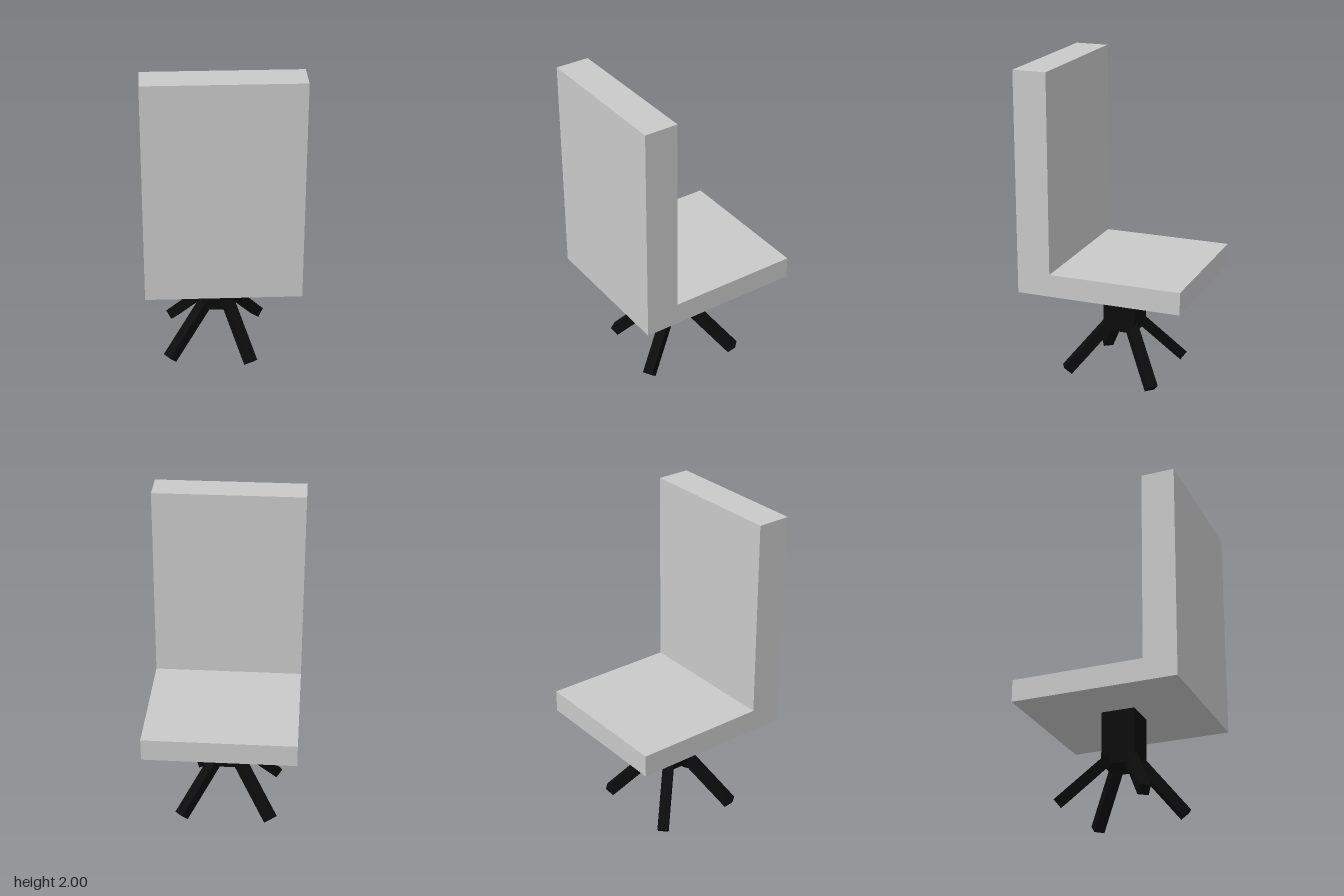
import * as THREE from 'three';

export function createModel() {
  const group = new THREE.Group();
  const grey = new THREE.MeshStandardMaterial({ color: 0xc9c9c9, name: 'light grey' });
  const black = new THREE.MeshStandardMaterial({ color: 0x0c0c0c, name: 'black' });

  const add = (name, geometry, material) => {
    const mesh = new THREE.Mesh(geometry, material);
    mesh.name = name;
    group.add(mesh);
    return mesh;
  };

  // Seat and backrest: one L-shaped profile (drawn as -z, y) extruded across x
  const profile = new THREE.Shape([
    [-0.52, 0.625], [0.52, 0.625], [0.52, 0.765], [-0.31, 0.765], [-0.31, 2], [-0.52, 2],
  ].map(([x, y]) => new THREE.Vector2(x, y)));
  const shell = new THREE.ExtrudeGeometry(profile, { depth: 0.94, bevelEnabled: false });
  shell.translate(0, 0, -0.47).rotateY(Math.PI / 2);
  add('seatAndBackrest', shell, grey);

  // Square central column, slightly off centre
  const cx = -0.02, cz = 0.015;
  add('column', new THREE.BoxGeometry(0.205, 0.335, 0.21), black).position.set(cx, 0.4575, cz);

  // Four splayed square legs running from inside the column to the floor
  const feet = [
    ['frontRightLeg', -0.33, 0.26],
    ['frontLeftLeg', 0.18, 0.33],
    ['backLeftLeg', 0.26, -0.27],
    ['backRightLeg', -0.31, -0.27],
  ];
  for (const [name, x, z] of feet) {
    const top = new THREE.Vector3(cx + 0.055 * Math.sign(x), 0.355, cz + 0.055 * Math.sign(z));
    const foot = new THREE.Vector3(x, 0.023, z);
    const leg = add(name, new THREE.BoxGeometry(0.066, 0.066, top.distanceTo(foot)), black);
    leg.position.copy(top).lerp(foot, 0.5);
    leg.lookAt(foot);
  }
  return group;
}
